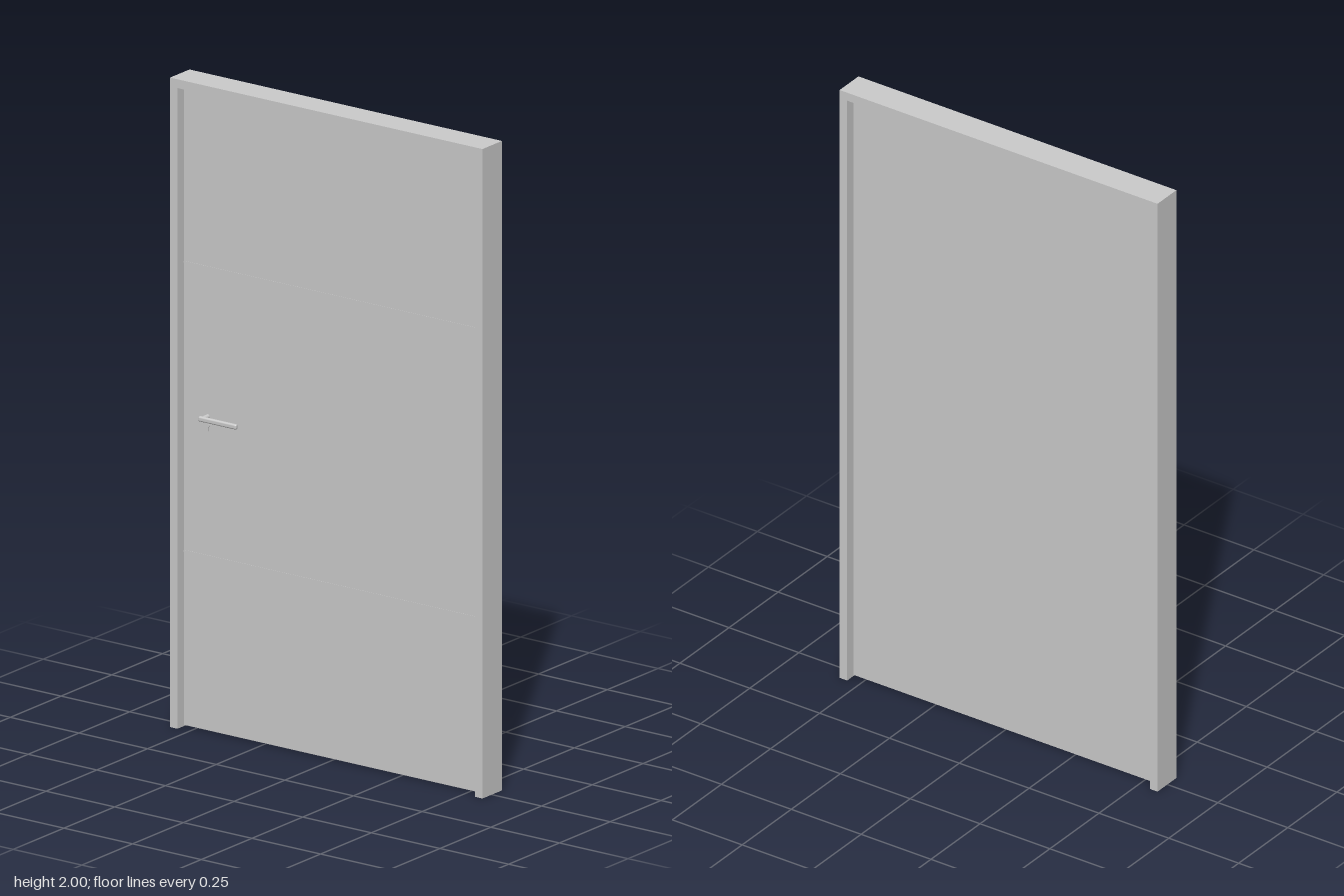
import * as THREE from 'three';
import { RoundedBoxGeometry } from 'three/addons/geometries/RoundedBoxGeometry.js';

const W = 1.138, H = 2, JAMB = 0.027;
const BACK = -0.05, FRONT = 0.046;            // frame depth
const LEAF_BACK = -0.018, LEAF_FRONT = 0.014; // door leaf depth

export function createModel() {
  const door = new THREE.Group();
  door.name = 'door';
  const material = new THREE.MeshStandardMaterial({ color: 0xcccccc });

  const add = (parent, name, geometry, x, y, z) => {
    const mesh = new THREE.Mesh(geometry, material);
    mesh.name = name;
    mesh.position.set(x, y, z);
    parent.add(mesh);
    return mesh;
  };

  // Frame: two jambs and a head in one outline, open at the floor
  const w = W / 2, i = w - JAMB;
  const outline = new THREE.Shape([
    [-w, 0], [-i, 0], [-i, H - JAMB], [i, H - JAMB], [i, 0], [w, 0], [w, H], [-w, H],
  ].map(([x, y]) => new THREE.Vector2(x, y)));
  add(door, 'frame', new THREE.ExtrudeGeometry(outline, { depth: FRONT - BACK, bevelEnabled: false }), 0, 0, BACK);

  // Door leaf, recessed on both faces
  const leafTop = H - JAMB, gap = 0.004;
  add(door, 'leaf', new THREE.BoxGeometry(2 * i, leafTop - gap, LEAF_FRONT - LEAF_BACK),
    0, (leafTop + gap) / 2, (LEAF_FRONT + LEAF_BACK) / 2);

  // Thin inlay strips across the front
  for (const y of [0.54, 1.43]) {
    add(door, 'inlayStrip', new THREE.BoxGeometry(2 * i, 0.006, 0.002), 0, y, LEAF_FRONT);
  }

  // Lever handle: stem and horizontal grip
  const handle = new THREE.Group();
  handle.name = 'handle';
  door.add(handle);
  const disc = (name, r, z0, z1, x, y) =>
    add(handle, name, new THREE.CylinderGeometry(r, r, z1 - z0, 24), x, y, (z0 + z1) / 2).rotation.x = Math.PI / 2;
  disc('stem', 0.007, LEAF_FRONT, 0.044, -0.455, 0.97);
  add(handle, 'grip', new RoundedBoxGeometry(0.138, 0.016, 0.012, 3, 0.005), -0.396, 0.97, 0.044);

  // Lock cylinder under the handle
  disc('lockCylinder', 0.007, LEAF_FRONT, LEAF_FRONT + 0.003, -0.455, 0.943);
  add(handle, 'lockBody', new THREE.BoxGeometry(0.007, 0.016, 0.003), -0.455, 0.934, LEAF_FRONT + 0.0014);

  return door;
}
